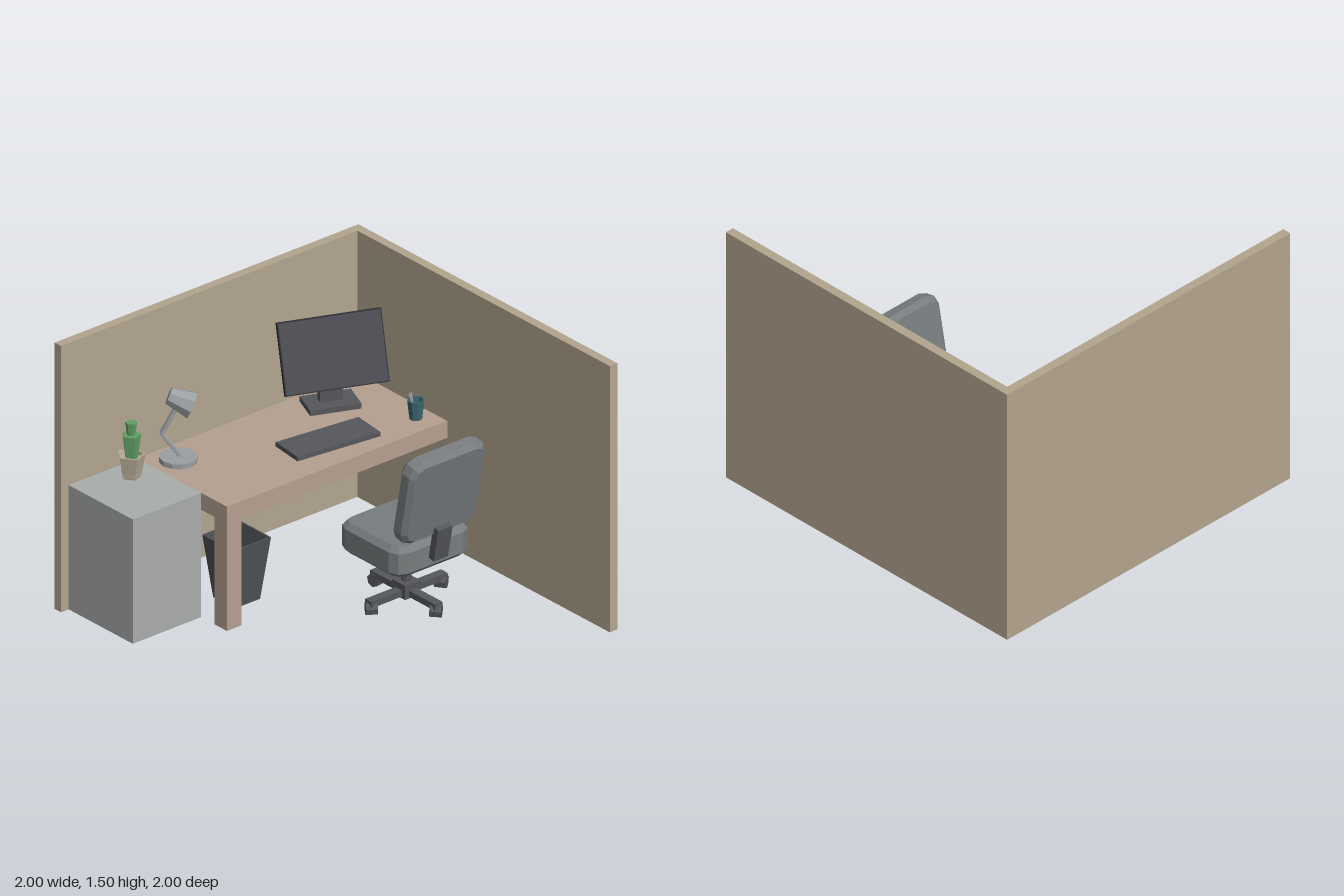
import * as THREE from 'three';

const mat = (color) => new THREE.MeshStandardMaterial({ color, flatShading: true, side: THREE.DoubleSide });
const WALL = mat(0xb3a58f), DESK = mat(0xb6a090), CABINET = mat(0xa9adab), FABRIC = mat(0x777c7e);
const DARK = mat(0x55575c), BIN = mat(0x515355), BLACK = mat(0x303236), METAL = mat(0x9b9fa2);
const CLAY = mat(0xb5ab98), GREEN = mat(0x62a066), TEAL = mat(0x3c6870), SCREEN = mat(0x4a4c52);

function add(parent, name, geometry, material, x = 0, y = 0, z = 0) {
  const mesh = new THREE.Mesh(geometry, material);
  mesh.name = name;
  mesh.position.set(x, y, z);
  parent.add(mesh);
  return mesh;
}

function group(parent, name, x = 0, y = 0, z = 0, turn = 0) {
  const g = new THREE.Group();
  g.name = name;
  g.position.set(x, y, z);
  g.rotation.y = turn;
  parent.add(g);
  return g;
}

// Box given by its limits on each axis
function block(parent, name, material, x0, x1, y0, y1, z0, z1) {
  return add(parent, name, new THREE.BoxGeometry(x1 - x0, y1 - y0, z1 - z0), material,
    (x0 + x1) / 2, (y0 + y1) / 2, (z0 + z1) / 2);
}

// Tapered rod from point a to point b
function rod(parent, name, material, a, b, ra, rb = ra, sides = 8) {
  const p = new THREE.Vector3(...a), q = new THREE.Vector3(...b);
  const dir = q.clone().sub(p);
  const mesh = add(parent, name, new THREE.CylinderGeometry(rb, ra, dir.length(), sides), material);
  mesh.position.copy(p).add(q).multiplyScalar(0.5);
  mesh.quaternion.setFromUnitVectors(new THREE.Vector3(0, 1, 0), dir.normalize());
  return mesh;
}

// Open tapered container with a wall thickness
function vessel(r0, r1, h, wall, sides, start = 0) {
  const pts = [[0, 0], [r0, 0], [r1, h], [r1 - wall, h], [r0 - wall, wall], [0, wall]];
  return new THREE.LatheGeometry(pts.map((p) => new THREE.Vector2(...p)), sides, start);
}

// Padded slab in the xy plane with cut corners c and bevel b
function cushion(w, h, t, c, b) {
  const X = w / 2 - b, Y = h / 2 - b, k = c * 0.3;
  const corner = [[X, Y - c], [X - k, Y - k], [X - c, Y]];
  const flip = (sx, sy) => corner.map(([x, y]) => new THREE.Vector2(sx * x, sy * y));
  const pts = [...flip(1, 1), ...flip(-1, 1).reverse(), ...flip(-1, -1), ...flip(1, -1).reverse()];
  const geo = new THREE.ExtrudeGeometry(new THREE.Shape(pts),
    { depth: t - 2 * b, bevelEnabled: true, bevelSize: b, bevelThickness: b, bevelSegments: 1 });
  return geo.translate(0, 0, b - t / 2);
}

function buildChair(root) {
  const chair = group(root, 'chair', 0.36, 0, 0.12);
  const seat = add(chair, 'seat', cushion(0.5, 0.48, 0.17, 0.05, 0.028), FABRIC, 0, 0.39, -0.01);
  seat.rotation.x = -Math.PI / 2;
  const back = group(chair, 'backrest', 0, 0.755, 0.255);
  back.rotation.x = 0.19;
  add(back, 'backCushion', cushion(0.5, 0.5, 0.105, 0.055, 0.025), FABRIC);
  add(back, 'backSupport', new THREE.BoxGeometry(0.095, 0.19, 0.04), DARK, 0, -0.28, 0.065);
  rod(chair, 'column', DARK, [0, 0.1, 0], [0, 0.32, 0], 0.026);
  add(chair, 'hub', new THREE.BoxGeometry(0.1, 0.08, 0.1), DARK, 0, 0.11, 0);
  // Four spokes with casters swivelled to different angles
  [0.6, 0.15, 1.0, 2.3].forEach((swivel, i) => {
    const arm = group(chair, 'spoke', 0, 0, 0, i * Math.PI / 2);
    block(arm, 'spokeBar', DARK, 0, 0.25, 0.08, 0.115, -0.025, 0.025);
    const caster = group(arm, 'caster', 0.23, 0.066, 0, swivel);
    add(caster, 'wheel', new THREE.CylinderGeometry(0.037, 0.037, 0.06, 7).rotateX(Math.PI / 2), DARK);
  });
}

function buildMonitor(root) {
  const monitor = group(root, 'monitor', 0.605, 0.7, -0.735, -0.39);
  block(monitor, 'monitorBase', DARK, -0.135, 0.135, 0, 0.03, -0.12, 0.05);
  block(monitor, 'monitorStand', DARK, -0.06, 0.06, 0.03, 0.3, -0.06, -0.02);
  const panel = group(monitor, 'panel', 0, 0.315, 0);
  panel.rotation.x = -0.385;
  add(panel, 'casing', new THREE.BoxGeometry(0.55, 0.375, 0.024), BLACK, 0, 0, -0.001);
  add(panel, 'screen', new THREE.BoxGeometry(0.538, 0.363, 0.004), SCREEN, 0, 0, 0.011);
}

function buildLamp(root) {
  const lamp = group(root, 'lamp');
  rod(lamp, 'lampBase', METAL, [-0.358, 0.7, -0.798], [-0.358, 0.727, -0.798], 0.098, 0.098, 12);
  rod(lamp, 'lowerArm', METAL, [-0.345, 0.72, -0.79], [-0.418, 0.85, -0.855], 0.013, 0.013, 5);
  rod(lamp, 'upperArm', METAL, [-0.418, 0.85, -0.855], [-0.355, 1.02, -0.8], 0.015, 0.015, 5);
  rod(lamp, 'lampShade', METAL, [-0.39, 1.062, -0.835], [-0.308, 1.014, -0.75], 0.046, 0.074, 8);
}

function buildPlant(root) {
  const plant = group(root, 'plant', -0.65, 0.7, -0.82, -0.3);
  add(plant, 'pot', vessel(0.05, 0.075, 0.127, 0.012, 5), CLAY);
  add(plant, 'soil', new THREE.CylinderGeometry(0.062, 0.055, 0.09, 5), CLAY, 0, 0.06, 0);
  add(plant, 'lowerStem', new THREE.CylinderGeometry(0.05, 0.034, 0.135, 5), GREEN, 0, 0.17, 0);
  add(plant, 'upperStem', new THREE.CylinderGeometry(0.031, 0.02, 0.08, 6), GREEN, 0, 0.267, 0);
}

export function createModel() {
  const root = new THREE.Group();
  root.name = 'officeCubicle';

  // Partitions
  block(root, 'backPartition', WALL, -1, 0.95, 0, 1.5, -1, -0.95);
  block(root, 'sidePartition', WALL, 0.95, 1, 0, 1.5, -1, 1);

  // Furniture
  block(root, 'cabinet', CABINET, -0.95, -0.5, 0, 0.7, -0.95, -0.455);
  block(root, 'desktop', DESK, -0.5, 0.95, 0.605, 0.7, -0.95, -0.255);
  block(root, 'deskLeg', DESK, -0.5, -0.405, 0, 0.605, -0.35, -0.255);
  add(root, 'wasteBin', vessel(0.118, 0.173, 0.35, 0.012, 4, Math.PI / 4), BIN, -0.228, 0, -0.5);
  buildChair(root);

  // Desk items
  buildMonitor(root);
  buildLamp(root);
  buildPlant(root);
  const keyboard = add(root, 'keyboard', new THREE.BoxGeometry(0.498, 0.025, 0.197), DARK, 0.35, 0.7125, -0.4725);
  keyboard.rotation.y = -0.12;
  add(root, 'penCup', vessel(0.034, 0.046, 0.105, 0.008, 8, Math.PI / 8), TEAL, 0.85, 0.7, -0.38);
  rod(root, 'pen', METAL, [0.855, 0.71, -0.375], [0.818, 0.84, -0.395], 0.006, 0.006, 5);
  rod(root, 'pen', METAL, [0.84, 0.71, -0.385], [0.843, 0.838, -0.41], 0.006, 0.006, 5);

  return root;
}
